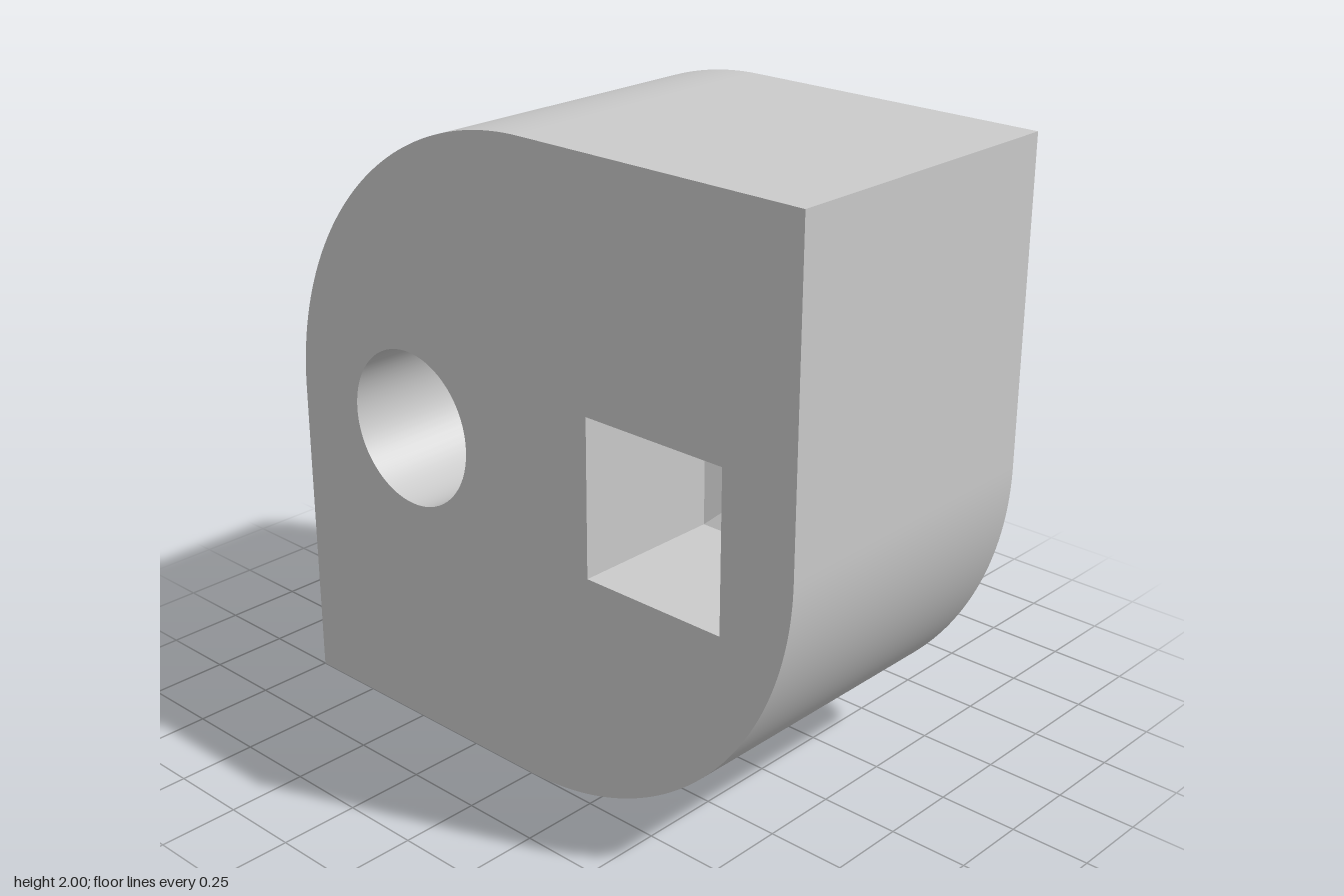
import * as THREE from 'three';
import { toCreasedNormals } from 'three/addons/utils/BufferGeometryUtils.js';

const DEPTH = 1, FRONT = DEPTH / 2, SEGMENTS = 32;
const HOLE = 0.25; // radius / half width of both sockets
const material = new THREE.MeshStandardMaterial({ color: 0xcccccc });

// Leaf outline: two opposite corners square, two rounded with radius 1
function leafShape() {
  const s = new THREE.Shape();
  s.moveTo(-1, 0);
  s.lineTo(0, 0);
  s.absarc(0, 1, 1, -Math.PI / 2, 0, false);
  s.lineTo(1, 2);
  s.lineTo(0, 2);
  s.absarc(0, 1, 1, Math.PI / 2, Math.PI, false);
  s.closePath();
  return s;
}

// Outer wall: only the side faces of the extruded outline
function wallGeometry() {
  const solid = new THREE.ExtrudeGeometry(leafShape(), { depth: DEPTH, bevelEnabled: false, curveSegments: SEGMENTS });
  const { start, count } = solid.groups[1];
  const wall = new THREE.BufferGeometry();
  wall.setAttribute('position', new THREE.BufferAttribute(solid.attributes.position.array.slice(start * 3, (start + count) * 3), 3));
  wall.translate(0, 0, -FRONT);
  return toCreasedNormals(wall, Math.PI / 6);
}

// Socket turned around z; the profile runs from the rim inwards so it faces inside
function socketGeometry(profile, sides, phase) {
  const points = profile.map(([r, z]) => new THREE.Vector2(r, z));
  const g = new THREE.LatheGeometry(points, sides, phase);
  return g.rotateX(Math.PI / 2);
}

export function createModel() {
  const model = new THREE.Group();
  const add = (name, geometry) => {
    const mesh = new THREE.Mesh(geometry, material);
    mesh.name = name;
    model.add(mesh);
    return mesh;
  };

  add('outerWall', wallGeometry());

  // Front face with a round and a square opening
  const face = leafShape();
  const round = new THREE.Path();
  round.absarc(-0.5, 1, HOLE, 0, Math.PI * 2, true);
  const square = new THREE.Path([[-1, -1], [-1, 1], [1, 1], [1, -1]]
    .map(([x, y]) => new THREE.Vector2(0.5 + x * HOLE, 1 + y * HOLE)));
  face.holes.push(round, square);
  add('frontFace', new THREE.ShapeGeometry(face, SEGMENTS)).position.z = FRONT;

  // Plain back face
  const back = add('backFace', new THREE.ShapeGeometry(leafShape(), SEGMENTS).scale(-1, 1, 1).rotateY(Math.PI));
  back.geometry.dispose();
  back.geometry = new THREE.ShapeGeometry(mirroredLeaf(), SEGMENTS).rotateY(Math.PI);
  back.position.z = -FRONT;

  // Round socket: straight bore ending in a hemisphere
  const bore = [[HOLE, FRONT]];
  for (let i = 0; i <= 16; i++) {
    const a = (i / 16) * Math.PI / 2;
    bore.push([i === 16 ? 0 : HOLE * Math.cos(a), -HOLE * Math.sin(a)]);
  }
  add('roundSocket', socketGeometry(bore, SEGMENTS * 2, 0)).position.set(-0.5, 1, 0);

  // Square socket: straight walls, chamfered towards a smaller flat floor
  const d = Math.SQRT2;
  const well = [[HOLE * d, FRONT], [HOLE * d, 0], [0.15 * d, -0.1], [0, -0.1]];
  const flat = socketGeometry(well, 4, Math.PI / 4).toNonIndexed();
  flat.computeVertexNormals();
  add('squareSocket', flat).position.set(0.5, 1, 0);

  return model;
}

// Outline mirrored in x, for the face that is turned to the back
function mirroredLeaf() {
  const points = leafShape().getPoints(SEGMENTS).map(p => new THREE.Vector2(-p.x, p.y));
  return new THREE.Shape(points.reverse());
}
